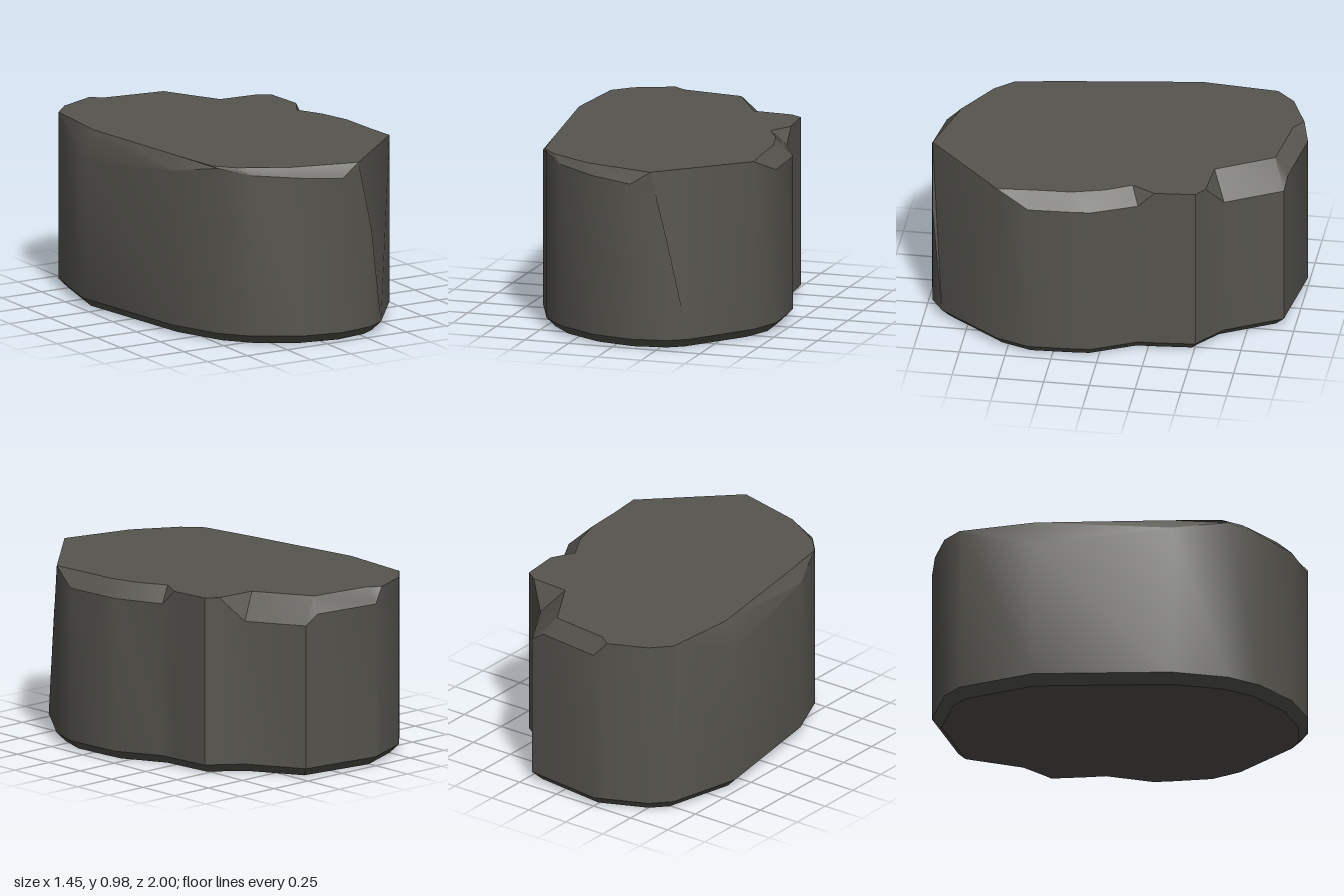
import * as THREE from 'three';
import { toCreasedNormals } from 'three/addons/utils/BufferGeometryUtils.js';

const TOP = 0.98, BEVEL = 0.05;

// Outline, back then clockwise from above: x, z, rim height where a chip starts, then x, z on the top face
const OUTLINE = [
  [-0.25, -1.0, 0.9, -0.25, -0.92],
  [0.13, -0.95, 0.9, 0.09, -0.875],
  [0.21, -0.94, 0.845, 0.09, -0.875],
  [0.38, -0.64, 0.845, 0.265, -0.57],
  [0.49, -0.555, TOP],
  [0.555, -0.51, TOP],
  [0.575, -0.29, TOP],
  [0.58, -0.2, 0.895, 0.505, -0.16],
  [0.7, 0.04, 0.9, 0.58, -0.02],
  [0.71, 0.16, 0.9, 0.63, 0.16],
  [0.72, 0.38, 0.9, 0.64, 0.38],
  [0.655, 0.56, TOP],
  [0.4, 0.9, BEVEL, 0.21, 0.98],
  [0.3, 0.965, 0.6, 0.21, 0.98],
  [0.1, 1.0, 0.91, 0.21, 0.98],
  [-0.13, 0.955, 0.93, -0.18, 0.88],
  [-0.36, 0.82, 0.945, -0.42, 0.74],
  [-0.49, 0.67, 0.97, -0.51, 0.64],
  [-0.61, 0.38, 0.91, -0.555, 0.37],
  [-0.725, -0.36, 0.82, -0.66, -0.36],
  [-0.625, -0.78, TOP],
  [-0.53, -0.88, TOP],
  [-0.32, -0.97, TOP],
];

// Moves each outline corner inward by d
function inset(points, d) {
  const n = points.length;
  const normal = (a, b) => new THREE.Vector2(a.y - b.y, b.x - a.x).normalize();
  return points.map((p, i) => {
    const n1 = normal(points[(i + n - 1) % n], p);
    const n2 = normal(p, points[(i + 1) % n]);
    return n1.clone().add(n2).multiplyScalar(d / (1 + n1.dot(n2))).add(p);
  });
}

function stoneGeometry() {
  const position = [];
  const triangle = (a, b, c) => {
    const cross = b.clone().sub(a).cross(c.clone().sub(a));
    if (cross.length() > 1e-7) [a, b, c].forEach(v => position.push(v.x, v.y, v.z));
  };
  const cap = (ring, up) => {
    const pts = ring.filter((p, i) => p.distanceTo(ring[(i + 1) % ring.length]) > 1e-4);
    const faces = THREE.ShapeUtils.triangulateShape(pts.map(p => new THREE.Vector2(p.x, p.z)), []);
    for (const [i, j, k] of faces) {
      const [a, b, c] = [pts[i], pts[j], pts[k]];
      const ny = b.clone().sub(a).cross(c.clone().sub(a)).y;
      if (ny * up > 0) triangle(a, b, c);
      else triangle(a, c, b);
    }
  };

  const base = inset(OUTLINE.map(([x, z]) => new THREE.Vector2(x, z)), BEVEL);
  const rings = [
    base.map(p => new THREE.Vector3(p.x, 0, p.y)),
    OUTLINE.map(([x, z]) => new THREE.Vector3(x, BEVEL, z)),
    OUTLINE.map(([x, z, y]) => new THREE.Vector3(x, y, z)),
    OUTLINE.map(([x, z, , tx = x, tz = z]) => new THREE.Vector3(tx, TOP, tz)),
  ];

  // Bottom bevel, wall and chipped rim
  for (let r = 0; r < rings.length - 1; r++) {
    for (let i = 0; i < OUTLINE.length; i++) {
      const j = (i + 1) % OUTLINE.length;
      const [low, high] = [rings[r], rings[r + 1]];
      triangle(low[i], high[i], high[j]);
      triangle(low[i], high[j], low[j]);
    }
  }
  cap(rings[0], -1);
  cap(rings[3], 1);

  const geometry = new THREE.BufferGeometry();
  geometry.setAttribute('position', new THREE.Float32BufferAttribute(position, 3));
  return toCreasedNormals(geometry, 0.55);
}

export function createModel() {
  const group = new THREE.Group();
  group.name = 'rock';
  const stone = new THREE.MeshStandardMaterial({ color: 0x55544e });
  stone.name = 'darkStone';
  const mesh = new THREE.Mesh(stoneGeometry(), stone);
  mesh.name = 'chippedStone';
  group.add(mesh);
  return group;
}
